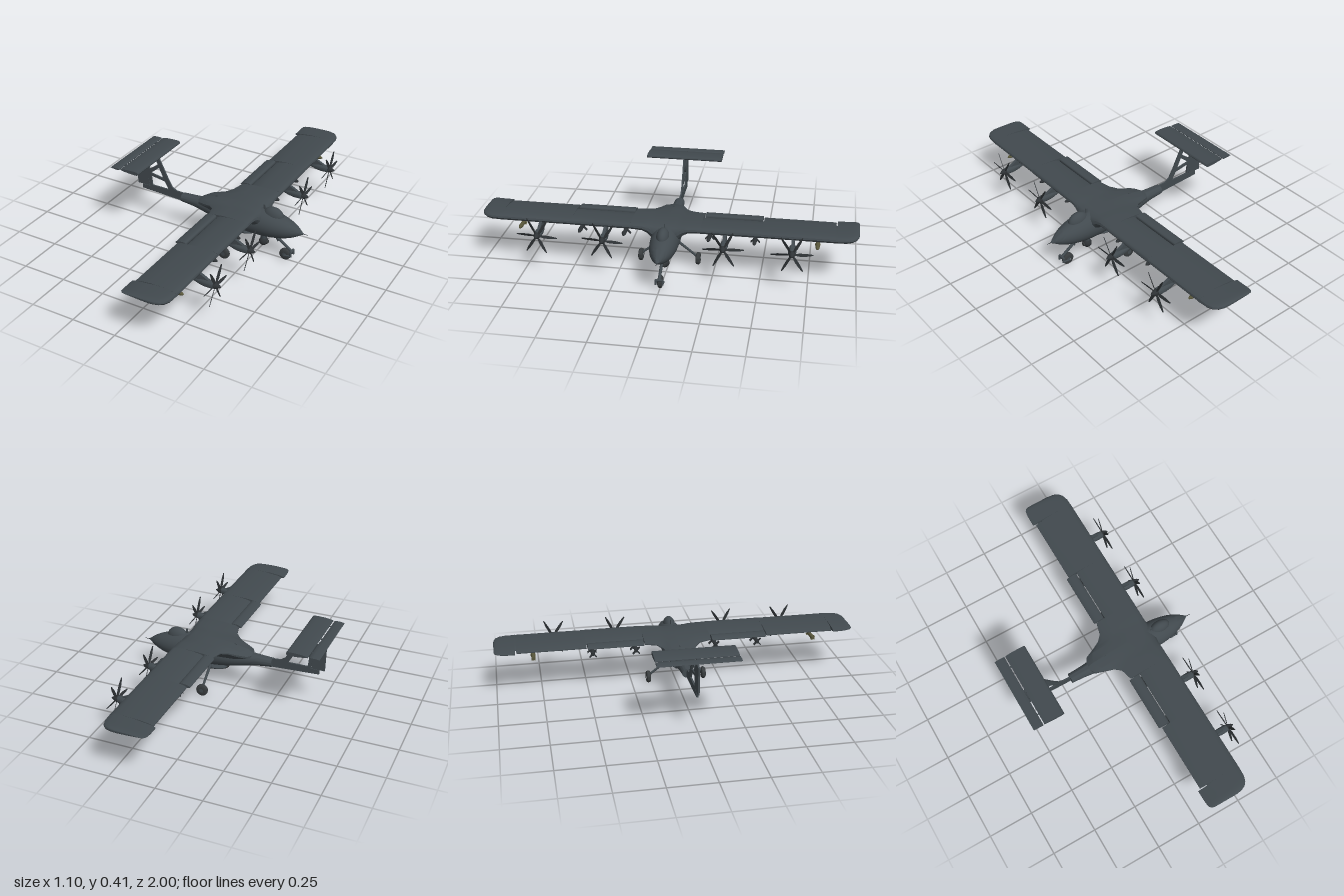
import * as THREE from 'three';
import { toCreasedNormals } from 'three/addons/utils/BufferGeometryUtils.js';

const mat = (name, color, side = THREE.FrontSide) => {
  const m = new THREE.MeshStandardMaterial({ color, side });
  m.name = name;
  return m;
};

// closed skin through equal-length rings of [x, y, z], turned outward by its signed volume
function loft(rings, crease = 0.6) {
  const n = rings[0].length, pos = rings.flat(2), idx = [];
  for (let i = 0; i < rings.length - 1; i++)
    for (let j = 0; j < n; j++) {
      const a = i * n + j, b = i * n + (j + 1) % n;
      idx.push(a, b, b + n, a, b + n, a + n);
    }
  const last = (rings.length - 1) * n;
  for (let j = 1; j < n - 1; j++) idx.push(0, j + 1, j, last, last + j, last + j + 1);
  const v = i => new THREE.Vector3().fromArray(pos, i * 3);
  let volume = 0;
  for (let i = 0; i < idx.length; i += 3) volume += v(idx[i]).dot(v(idx[i + 1]).cross(v(idx[i + 2])));
  if (volume < 0) idx.reverse();
  const g = new THREE.BufferGeometry();
  g.setAttribute('position', new THREE.Float32BufferAttribute(pos, 3));
  g.setIndex(idx);
  return toCreasedNormals(g, crease);
}

// body of revolution along x from [x, radius] pairs
const spun = (profile, sides = 16) => toCreasedNormals(
  new THREE.LatheGeometry(profile.map(([x, r]) => new THREE.Vector2(r, x)), sides).rotateZ(-Math.PI / 2), 0.7);

const outline = pts => pts.map(p => new THREE.Vector2(...p));

// thin upright plate in the xy plane, centred on z = 0
function plate(pts, depth, holes = []) {
  const s = new THREE.Shape(outline(pts));
  holes.forEach(h => s.holes.push(new THREE.Path(outline(h))));
  return new THREE.ExtrudeGeometry(s, { depth, bevelEnabled: false }).translate(0, 0, -depth / 2);
}

// round bar between two points
function bar(a, b, r1, r2 = r1) {
  const A = new THREE.Vector3(...a), B = new THREE.Vector3(...b), d = B.clone().sub(A);
  const g = new THREE.CylinderGeometry(r2, r1, d.length(), 10);
  g.applyQuaternion(new THREE.Quaternion().setFromUnitVectors(new THREE.Vector3(0, 1, 0), d.normalize()));
  return g.translate(...A.add(B).multiplyScalar(0.5).toArray());
}

// wing section: u runs from leading to trailing edge, v from bottom to top
const FOIL = [[0, .5], [.015, .75], [.05, .9], [.13, 1], [.35, 1], [.65, .92], [.9, .72], [1, .5],
  [1, .38], [.8, .22], [.5, .06], [.25, 0], [.1, .04], [.03, .2]];
const foilRing = ([z, te, le, yb, yt], s = 1) =>
  FOIL.map(([u, v]) => [le + (te - le) * u, yb + (yt - yb) * v, z * s]);

export function createModel() {
  const model = new THREE.Group();
  const skin = mat('slate grey', 0x41494e);
  const dark = mat('dark grey', 0x2e3235);
  const tyre = mat('tyre grey', 0x383c3e);
  const olive = mat('olive', 0x58563a);
  const add = (name, geo, m = skin, parent = model, p = [0, 0, 0]) => {
    const mesh = new THREE.Mesh(geo, m);
    mesh.name = name;
    mesh.position.set(...p);
    parent.add(mesh);
    return mesh;
  };

  // fuselage stations: x, bottom, top, half width
  const stations = [[-.22, .176, .226, .028], [-.14, .167, .232, .032], [-.07, .153, .238, .041], [0, .138, .246, .054],
    [.09, .125, .265, .068], [.2, .118, .277, .075], [.3, .119, .275, .074], [.36, .126, .266, .069],
    [.42, .139, .25, .056], [.47, .158, .229, .036], [.505, .178, .205, .014], [.522, .188, .192, .002]];
  const track = k => new THREE.CatmullRomCurve3(stations.map(s => new THREE.Vector3(s[0], s[k], s[3])));
  const low = track(1), high = track(2), rings = [];
  for (let i = 0; i <= 44; i++) {
    const a = low.getPoint(i / 44), b = high.getPoint(i / 44), ring = [];
    for (let j = 0; j < 28; j++) {
      const t = j / 28 * Math.PI * 2;
      ring.push([a.x, (a.y + b.y) / 2 + (b.y - a.y) / 2 * Math.sin(t), a.z * Math.cos(t)]);
    }
    rings.push(ring);
  }
  add('fuselage', loft(rings, 0.8));
  add('noseProbe', bar([.51, .19, 0], [.547, .19, 0], .003, .001), dark);
  add('dorsalDome', new THREE.SphereGeometry(1, 24, 16).scale(.06, .05, .034), skin, model, [.343, .25, 0]);
  add('rearAntenna', plate([[-.012, .235], [.006, .235], [.002, .274], [-.012, .27]], .006));
  add('frontAntenna', plate([[.283, .26], [.297, .26], [.292, .302], [.281, .302]], .004));

  // wing panels per side: z, trailing edge, leading edge, bottom, top
  const panels = {
    wingRoot: [[0, -.12, .3, .17, .284], [.05, -.09, .3, .18, .284], [.07, -.04, .295, .2, .284], [.09, .005, .292, .226, .285],
      [.12, .035, .29, .244, .286], [.185, .052, .29, .25, .286]],
    wingFlapBay: [[.185, .107, .29, .25, .286], [.503, .107, .29, .25, .286]],
    flap: [[.19, .04, .102, .254, .279], [.497, .04, .102, .254, .279]],
    outerWing: [[.503, .055, .29, .25, .286], [.88, .055, .29, .25, .286]],
    tipJoint: [[.88, .095, .29, .25, .286], [.887, .095, .29, .25, .286]],
    wingTip: [[.887, .04, .29, .25, .286], [.935, .04, .288, .251, .286], [.965, .041, .278, .255, .286],
      [.985, .045, .26, .26, .285], [.996, .055, .235, .265, .282], [1, .07, .21, .27, .278]],
  };

  const nacelle = spun([[.235, 0], [.25, .008], [.285, .017], [.32, .021], [.355, .02], [.362, .018]]);
  const spinner = spun([[.36, 0], [.361, .018], [.375, .016], [.39, .009], [.402, 0]]);
  const bladeGeo = plate([[-.004, .012], [.004, .012], [.009, .04], [.008, .075], [.003, .108], [-.002, .108], [-.006, .075], [-.007, .04]], .003)
    .rotateY(Math.PI / 2 - .45);
  const storeBody = spun([[.1, 0], [.1, .009], [.13, .011], [.235, .011], [.25, .01], [.263, .006], [.268, 0]], 12);
  const finGeo = (x, w, r) => new THREE.BoxGeometry(w, r, .003).translate(x, r / 2, 0);

  for (const s of [1, -1]) {
    const side = new THREE.Group();
    side.name = s > 0 ? 'leftWing' : 'rightWing';
    model.add(side);
    for (const [name, secs] of Object.entries(panels)) add(name, loft(secs.map(c => foilRing(c, s))), skin, side);

    // engines with six-bladed propellers
    for (const z of [.315, .665]) {
      const engine = new THREE.Group();
      engine.name = 'engine';
      engine.position.set(0, .218, z * s);
      side.add(engine);
      add('nacelle', nacelle, skin, engine);
      add('enginePylon', plate([[.23, .045], [.26, .008], [.34, .012], [.33, .022], [.285, .045]], .016), skin, engine);
      add('spinner', spinner, dark, engine);
      for (let k = 0; k < 6; k++)
        add('propellerBlade', bladeGeo, dark, engine, [.369, 0, 0]).rotation.x = .47 * s + k * Math.PI / 3;
    }

    // underwing stores on pylons
    for (const [z, m, r] of [[.225, dark, .034], [.465, dark, .034], [.79, olive, .018]]) {
      const store = new THREE.Group();
      store.name = 'underwingStore';
      store.position.set(0, .207, z * s);
      side.add(store);
      add('storeBody', storeBody, m, store);
      add('storePylon', new THREE.BoxGeometry(.05, .045, .007), skin, store, [.18, .029, 0]);
      for (let k = 0; k < 4; k++) {
        const a = Math.PI / 4 + k * Math.PI / 2;
        add('storeFin', finGeo(.185, .02, r), m, store).rotation.x = a;
        add('storeTailFin', finGeo(.112, .02, r * .8), m, store).rotation.x = a;
      }
    }

    // main gear leg
    add('mainGearLeg', bar([.13, .135, .035 * s], [.13, .05, .145 * s], .008, .006), skin);
    add('mainAxle', bar([.13, .055, .14 * s], [.13, .033, .158 * s], .007), skin);
  }

  // wheels
  for (const [x, z] of [[.13, .157], [.13, -.157], [.42, 0]]) {
    const tyreShape = [[-.012, .012], [-.012, .026], [-.008, .032], [0, .0335], [.008, .032], [.012, .026], [.012, .012]];
    add('tyre', spun(tyreShape, 28).rotateY(Math.PI / 2), tyre, model, [x, .0335, z]);
    add('wheelHub', new THREE.CylinderGeometry(.014, .014, .02, 20).rotateX(Math.PI / 2), skin, model, [x, .0335, z]);
  }

  // nose gear: trailing fork on a raked leg
  add('noseGearLeg', bar([.35, .135, 0], [.458, .06, 0], .008));
  add('noseGearBrace', bar([.36, .13, 0], [.375, .1, 0], .005));
  add('forkBridge', bar([.458, .06, -.02], [.458, .06, .02], .007));
  for (const s of [1, -1]) {
    add('forkArm', bar([.458, .062, .018 * s], [.46, .035, .018 * s], .006));
    add('forkLink', bar([.46, .038, .018 * s], [.42, .0335, .018 * s], .005));
  }

  // sensor turret and belly pod
  add('turretNeck', new THREE.CylinderGeometry(.02, .016, .035, 20), skin, model, [.288, .112, 0]);
  add('turretBall', new THREE.SphereGeometry(.025, 24, 16), dark, model, [.288, .075, 0]);
  add('turretLens', new THREE.CylinderGeometry(.01, .01, .008, 16).rotateZ(Math.PI / 2), tyre, model, [.312, .075, 0]);
  const podRing = ([x, yb, yt, w]) => Array.from({ length: 16 }, (_, j) => {
    const t = j / 16 * Math.PI * 2;
    return [x, (yb + yt) / 2 + (yt - yb) / 2 * Math.sin(t), w * Math.cos(t)];
  });
  add('bellyPod', loft([[.05, .108, .114, .004], [.065, .099, .118, .018], [.1, .092, .121, .03], [.14, .09, .121, .032],
    [.19, .094, .12, .028], [.222, .104, .119, .016], [.232, .112, .117, .004]].map(podRing)));
  add('podMount', new THREE.BoxGeometry(.08, .025, .02), skin, model, [.13, .125, 0]);

  // tail boom and open-frame fin cut from one thin plate
  add('tailFrame', plate(
    [[-.485, .188], [-.22, .176], [-.22, .226], [-.265, .229], [-.29, .245], [-.318, .295], [-.368, .398], [-.478, .398],
      [-.468, .385], [-.435, .214], [-.485, .212]], .009,
    [[[-.42, .222], [-.31, .222], [-.336, .268], [-.427, .282]],
      [[-.428, .298], [-.344, .284], [-.372, .345]],
      [[-.452, .385], [-.39, .385], [-.38, .363], [-.436, .32]]]));
  add('rudder', plate([[-.52, .366], [-.477, .38], [-.472, .368], [-.458, .364], [-.439, .216], [-.515, .214]], .009));

  // tailplane with separate elevator
  const span = (te, le, yb, yt) => loft([-.215, .215].map(z => foilRing([z, te, le, yb, yt])));
  add('tailplane', span(-.485, -.368, .394, .415));
  add('elevator', span(-.548, -.491, .397, .406));
  for (const z of [-.15, 0, .15])
    add('elevatorHinge', new THREE.BoxGeometry(.03, .005, .006), skin, model, [-.488, .402, z]);

  return model;
}
